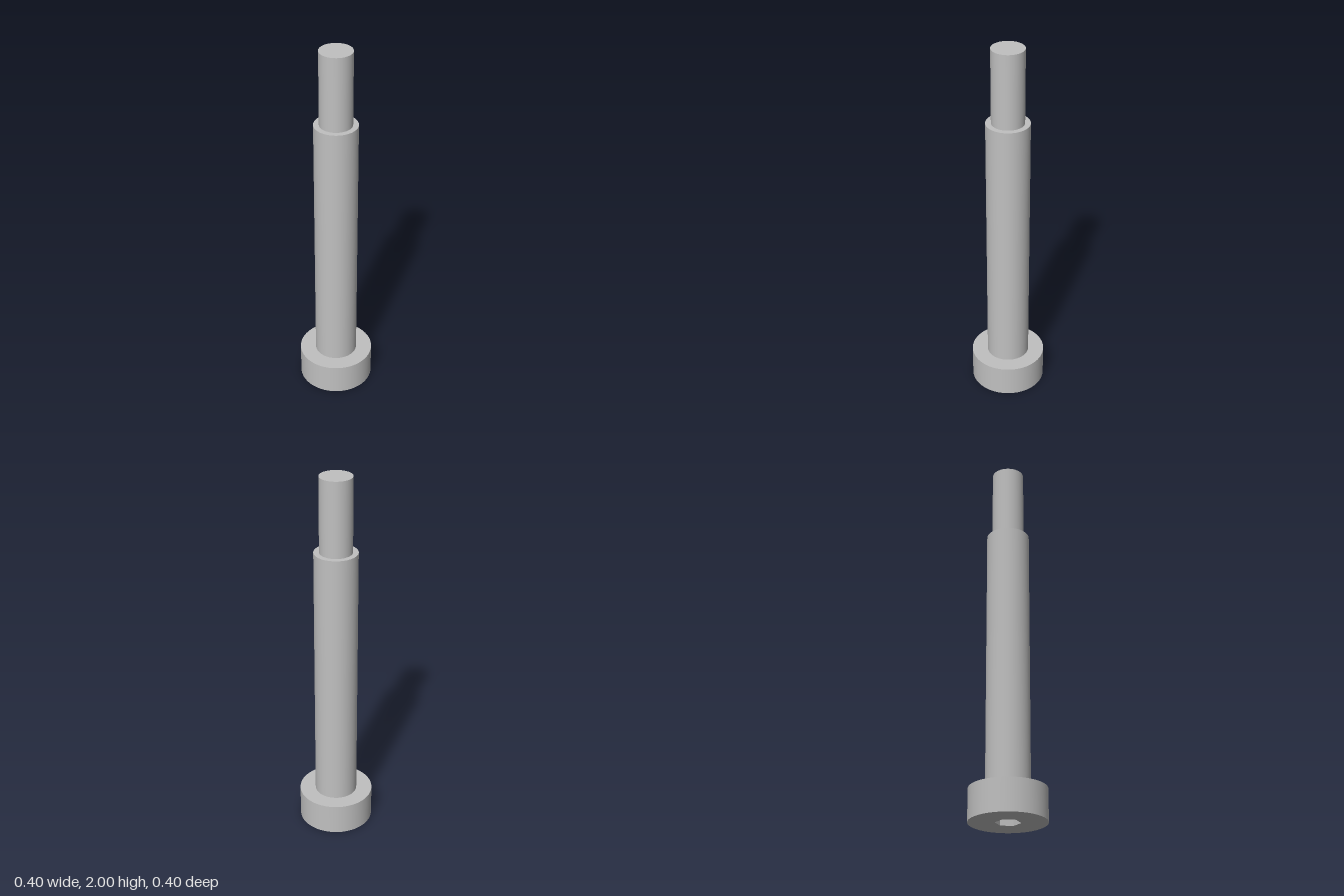
import * as THREE from 'three';

// Proportions in small units: the whole screw is 35 units long
const UNIT = 2 / 35;
const HEAD_R = 3.5 * UNIT, HEAD_H = 3 * UNIT;
const SHOULDER_R = 2 * UNIT, SHOULDER_H = 25 * UNIT;
const TIP_R = 1.5 * UNIT, TIP_H = 7 * UNIT;
const SOCKET_R = 2 * UNIT / Math.sqrt(3), SOCKET_D = 1.8 * UNIT;
const SIDES = 96;

export function createModel() {
  const model = new THREE.Group();
  model.name = 'shoulderScrew';
  const steel = new THREE.MeshStandardMaterial({ color: 0xc0c0c0 });
  steel.name = 'steel';

  const add = (name, geometry, y, parent = model) => {
    const mesh = new THREE.Mesh(geometry, steel);
    mesh.name = name;
    mesh.position.y = y;
    parent.add(mesh);
    return mesh;
  };

  // Head: side wall, top face and a bottom face pierced by the hex socket
  const head = new THREE.Group();
  head.name = 'head';
  model.add(head);
  add('headWall', new THREE.CylinderGeometry(HEAD_R, HEAD_R, HEAD_H, SIDES, 1, true), HEAD_H / 2, head);
  add('headTop', new THREE.RingGeometry(SHOULDER_R, HEAD_R, SIDES).rotateX(-Math.PI / 2), HEAD_H, head);

  const hexPoints = Array.from({ length: 6 }, (_, i) => {
    const a = i * Math.PI / 3;
    return new THREE.Vector2(SOCKET_R * Math.cos(a), SOCKET_R * Math.sin(a));
  });
  const face = new THREE.Shape().absarc(0, 0, HEAD_R, 0, Math.PI * 2);
  face.holes.push(new THREE.Path(hexPoints));
  add('headBottom', new THREE.ShapeGeometry(face, SIDES / 2).rotateX(Math.PI / 2), 0, head);

  // Hex socket: inward-facing walls and a floor that faces down
  const walls = new THREE.CylinderGeometry(SOCKET_R, SOCKET_R, SOCKET_D, 6, 1, true)
    .rotateY(Math.PI / 2).scale(-1, 1, 1).toNonIndexed();
  walls.computeVertexNormals();
  add('socketWalls', walls, SOCKET_D / 2, head);
  add('socketFloor', new THREE.ShapeGeometry(new THREE.Shape(hexPoints)).rotateX(Math.PI / 2), SOCKET_D, head);

  // Shoulder and narrower end
  add('shoulder', new THREE.CylinderGeometry(SHOULDER_R, SHOULDER_R, SHOULDER_H, SIDES), HEAD_H + SHOULDER_H / 2);
  add('threadEnd', new THREE.CylinderGeometry(TIP_R, TIP_R, TIP_H, SIDES), HEAD_H + SHOULDER_H + TIP_H / 2);

  return model;
}
